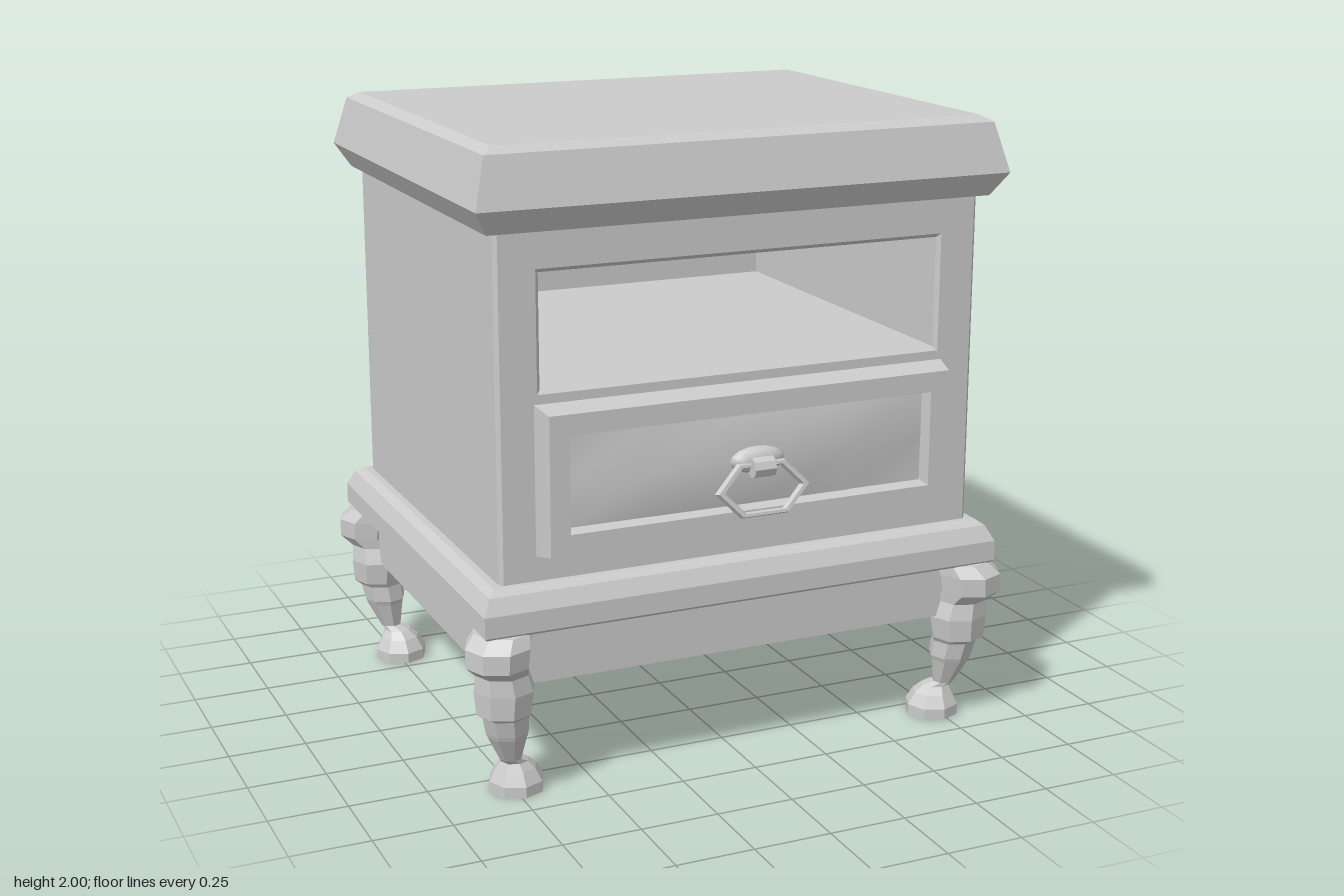
import * as THREE from 'three';

const mat = new THREE.MeshStandardMaterial({ color: 0xcccccc });
const flat = new THREE.MeshStandardMaterial({ color: 0xcccccc, flatShading: true });
const ZC = -0.016; // middle of the cabinet in z

function part(parent, name, geometry, material = flat) {
  const mesh = new THREE.Mesh(geometry, material);
  mesh.name = name;
  parent.add(mesh);
  return mesh;
}

// Closed skin over horizontal rings of [x, z] points, listed from bottom to top
function loft(rings) {
  const pos = [], idx = [], n = rings[0].pts.length;
  rings.forEach(({ y, pts }) => pts.forEach(([x, z]) => pos.push(x, y, z)));
  for (let r = 0; r < rings.length - 1; r++) {
    for (let i = 0; i < n; i++) {
      const a = r * n + i, b = r * n + (i + 1) % n;
      idx.push(a, a + n, b + n, a, b + n, b);
    }
  }
  const top = (rings.length - 1) * n;
  for (let i = 1; i < n - 1; i++) {
    idx.push(0, i, i + 1, top, top + i + 1, top + i);
  }
  const g = new THREE.BufferGeometry();
  g.setAttribute('position', new THREE.Float32BufferAttribute(pos, 3));
  g.setIndex(idx);
  const out = g.toNonIndexed();
  out.computeVertexNormals();
  return out;
}

// Rectangular moulding from [y, half width] pairs
const moulding = (profile) => loft(profile.map(([y, w]) => {
  const d = w - 0.147;
  return { y, pts: [[w, ZC - d], [w, ZC + d], [-w, ZC + d], [-w, ZC - d]] };
}));

function rect(Type, w, y0, y1) {
  return new Type([[-w, y0], [w, y0], [w, y1], [-w, y1]].map(p => new THREE.Vector2(...p)));
}

// Bevelled board with a rectangular hole, between two z planes
function framedBoard(outer, hole, z0, z1, bevelSize, bevelThickness) {
  const shape = rect(THREE.Shape, ...outer);
  shape.holes.push(rect(THREE.Path, ...hole));
  return new THREE.ExtrudeGeometry(shape, {
    depth: z1 - z0 - 2 * bevelThickness, bevelEnabled: true,
    bevelSize, bevelThickness, bevelSegments: 1,
  }).translate(0, 0, z0 + bevelThickness);
}

// Curved leg: [y, outward shift, radius] for each eight-sided ring
const LEG = [
  [0, 0, 0.088], [0.035, 0, 0.088], [0.075, 0.002, 0.066], [0.1, 0.008, 0.045],
  [0.115, 0.026, 0.035], [0.2, 0.04, 0.064], [0.215, 0.04, 0.07], [0.27, 0.048, 0.074],
  [0.285, 0.055, 0.088], [0.36, 0.052, 0.098], [0.415, 0.06, 0.085], [0.45, 0.08, 0.101],
  [0.51, 0.077, 0.105], [0.547, 0.055, 0.092],
];

function leg(sx, sz) {
  return loft(LEG.map(([y, shift, r]) => ({
    y,
    pts: Array.from({ length: 8 }, (_, i) => {
      const a = i * Math.PI / 4;
      return [sx * (0.738 + shift) + r * Math.cos(a), ZC + sz * (0.595 + shift) + r * Math.sin(a)];
    }),
  })));
}

export function createModel() {
  const model = new THREE.Group();
  model.name = 'nightstand';

  // Top and base mouldings
  part(model, 'top', moulding([[1.75, 0.83], [1.825, 0.875], [1.98, 0.835], [2, 0.8]]));
  part(model, 'base', moulding([[0.545, 0.866], [0.554, 0.875], [0.62, 0.875], [0.67, 0.85], [0.688, 0.825]]));

  // Cabinet body with the open shelf
  part(model, 'body', framedBoard([0.79, 0.68, 1.76], [0.675, 1.262, 1.637], -0.675, 0.645, 0.012, 0.012));
  part(model, 'shelfBack', new THREE.BoxGeometry(1.35, 0.375, 0.05)).position.set(0, 1.45, -0.65);

  // Apron below the base
  const apron = new THREE.Group();
  apron.name = 'apron';
  model.add(apron);
  for (const s of [-1, 1]) {
    part(apron, 'apronLong', new THREE.BoxGeometry(1.62, 0.185, 0.04)).position.set(0, 0.4575, ZC + s * 0.645);
    part(apron, 'apronSide', new THREE.BoxGeometry(0.04, 0.185, 1.25)).position.set(s * 0.79, 0.4575, ZC);
  }

  // Four legs
  for (const sx of [-1, 1]) {
    for (const sz of [-1, 1]) part(model, sz > 0 ? 'frontLeg' : 'backLeg', leg(sx, sz));
  }

  // Drawer frame and its softly bowed panel
  const drawer = new THREE.Group();
  drawer.name = 'drawer';
  model.add(drawer);
  part(drawer, 'drawerFrame', framedBoard([0.67, 0.783, 1.217], [0.607, 0.848, 1.152], 0.56, 0.728, 0.016, 0.08));
  const panel = new THREE.PlaneGeometry(1.21, 0.31, 4, 2);
  const p = panel.attributes.position;
  for (let i = 0; i < p.count; i++) {
    const u = p.getX(i) / 0.605, v = p.getY(i) / 0.155;
    p.setXYZ(i, Math.abs(Math.abs(u) - 0.5) < 0.1 ? Math.sign(u) * 0.335 : p.getX(i),
      p.getY(i) + 1, 0.685 + 0.04 * (1 - u * u) * (1 - v * v));
  }
  panel.computeVertexNormals();
  part(drawer, 'drawerPanel', panel, mat);

  // Handle: oval mount, clasp and hanging six-sided ring
  const handle = new THREE.Group();
  handle.name = 'handle';
  drawer.add(handle);
  const mount = part(handle, 'handleMount', new THREE.SphereGeometry(1, 12, 8), mat);
  mount.scale.set(0.092, 0.042, 0.032);
  mount.position.set(0, 1.01, 0.735);
  const clasp = part(handle, 'handleClasp', new THREE.CylinderGeometry(0.032, 0.032, 0.07, 8));
  clasp.rotation.z = Math.PI / 2;
  clasp.position.set(0, 0.995, 0.768);
  const ring = part(handle, 'handleRing', new THREE.TorusGeometry(0.143, 0.017, 6, 6));
  ring.scale.set(1, 0.6, 1);
  ring.rotation.x = -0.2;
  ring.position.set(0, 0.928, 0.773);

  return model;
}
